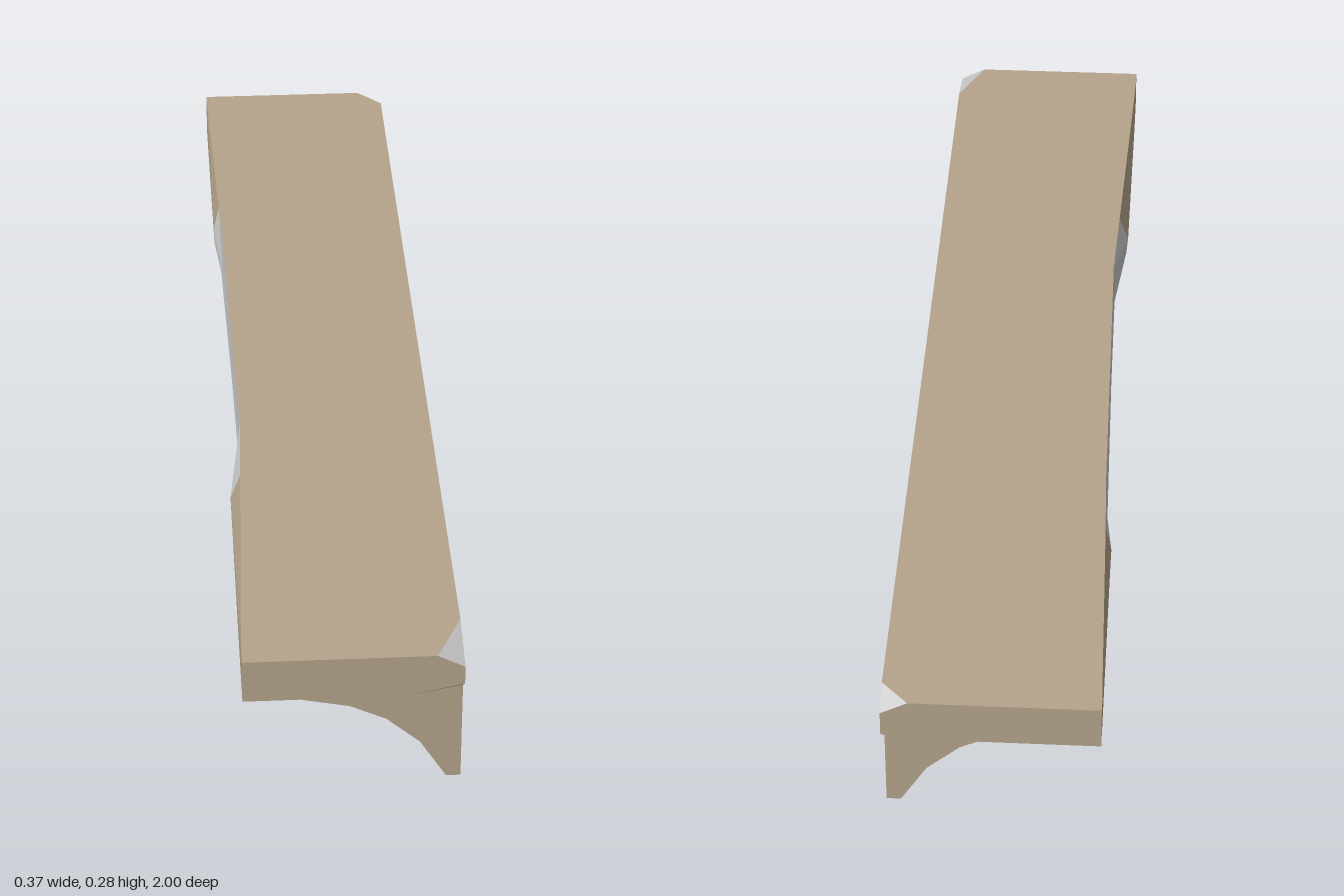
import * as THREE from 'three';

const TOP = 0.275, BOTTOM = 0.193, EDGE = 0.187;

// Stations along the plank: [z, top edge x, ridge x, ridge y, bottom edge x, top corner chip 0..1, bottom corner chip 0..1]
const stations = [
  [-1.00, -0.187, -0.187, 0.272, -0.187, 1, 0.4],
  [-0.98, -0.187, -0.187, 0.271, -0.187, 0.6, 0],
  [-0.95, -0.186, -0.187, 0.269, -0.187, 0, 0],
  [-0.52, -0.176, -0.187, 0.222, -0.186, 0, 0],
  [-0.40, -0.172, -0.174, 0.215, -0.176, 0, 0],
  [0.00, -0.167, -0.168, 0.22, -0.169, 0, 0],
  [0.28, -0.163, -0.164, 0.22, -0.166, 0, 0],
  [0.45, -0.169, -0.187, 0.228, -0.184, 0, 0],
  [0.90, -0.185, -0.187, 0.265, -0.187, 0, 0],
  [0.975, -0.187, -0.187, 0.27, -0.187, 0.75, 0],
  [1.00, -0.187, -0.187, 0.272, -0.187, 1, 1],
];

// Cross-section, counterclockwise seen from +z
function section([z, xt, xr, yr, xb, chipT, chipB]) {
  return [
    [xt, TOP], [xr, yr], [xb, BOTTOM],
    [EDGE - 0.10 * chipB, BOTTOM], [EDGE, BOTTOM + 0.022 * chipB],
    [EDGE, TOP - 0.025 * chipT], [EDGE - 0.047 * chipT, TOP],
  ].map(([x, y]) => new THREE.Vector3(x, y, z));
}

function flatGeometry(positions) {
  const g = new THREE.BufferGeometry();
  g.setAttribute('position', new THREE.Float32BufferAttribute(positions, 3));
  g.computeVertexNormals();
  return g;
}

// Loft the plank, keeping wood faces and bare chipped faces apart
function plankGeometries() {
  const wood = [], bare = [];
  const tri = (list, a, b, c) => {
    if (new THREE.Triangle(a, b, c).getArea() < 1e-7) return;
    for (const p of [a, b, c]) list.push(p.x, p.y, p.z);
  };
  const rings = stations.map(section);
  const n = rings[0].length;
  for (let i = 0; i < rings.length - 1; i++) {
    const worn = i >= 3 && i <= 6;
    for (let j = 0; j < n; j++) {
      const k = (j + 1) % n;
      const list = j === 3 || j === 5 || (worn && j < 2) ? bare : wood;
      tri(list, rings[i][j], rings[i][k], rings[i + 1][k]);
      tri(list, rings[i][j], rings[i + 1][k], rings[i + 1][j]);
    }
  }
  // End faces
  const back = rings[0], front = rings[rings.length - 1];
  for (let j = 1; j < n - 1; j++) {
    tri(wood, back[0], back[j + 1], back[j]);
    tri(wood, front[0], front[j], front[j + 1]);
  }
  return [flatGeometry(wood), flatGeometry(bare)];
}

export function createModel() {
  const group = new THREE.Group();
  group.name = 'wallShelf';
  const woodMaterial = new THREE.MeshStandardMaterial({ color: 0xb5a48b, flatShading: true });
  const bareMaterial = new THREE.MeshStandardMaterial({ color: 0xcccccc, flatShading: true });
  const add = (name, geometry, material) => {
    const mesh = new THREE.Mesh(geometry, material);
    mesh.name = name;
    group.add(mesh);
    return mesh;
  };

  // Plank with worn edge and chipped corners
  const [wood, bare] = plankGeometries();
  add('plank', wood, woodMaterial);
  add('plankWear', bare, bareMaterial);

  // Curved brackets under both ends
  const profile = [
    [-0.1, BOTTOM], [-0.1, 0.178], [-0.005, 0.158], [0.057, 0.128],
    [0.115, 0.076], [0.161, 0], [0.186, 0], [0.186, BOTTOM + 0.003],
  ].map(([x, y]) => new THREE.Vector2(x, y));
  const bracket = new THREE.ExtrudeGeometry(new THREE.Shape(profile), { depth: 0.047, bevelEnabled: false });
  add('frontBracket', bracket, woodMaterial).position.z = 0.931;
  add('backBracket', bracket, woodMaterial).position.z = -0.947;

  return group;
}
